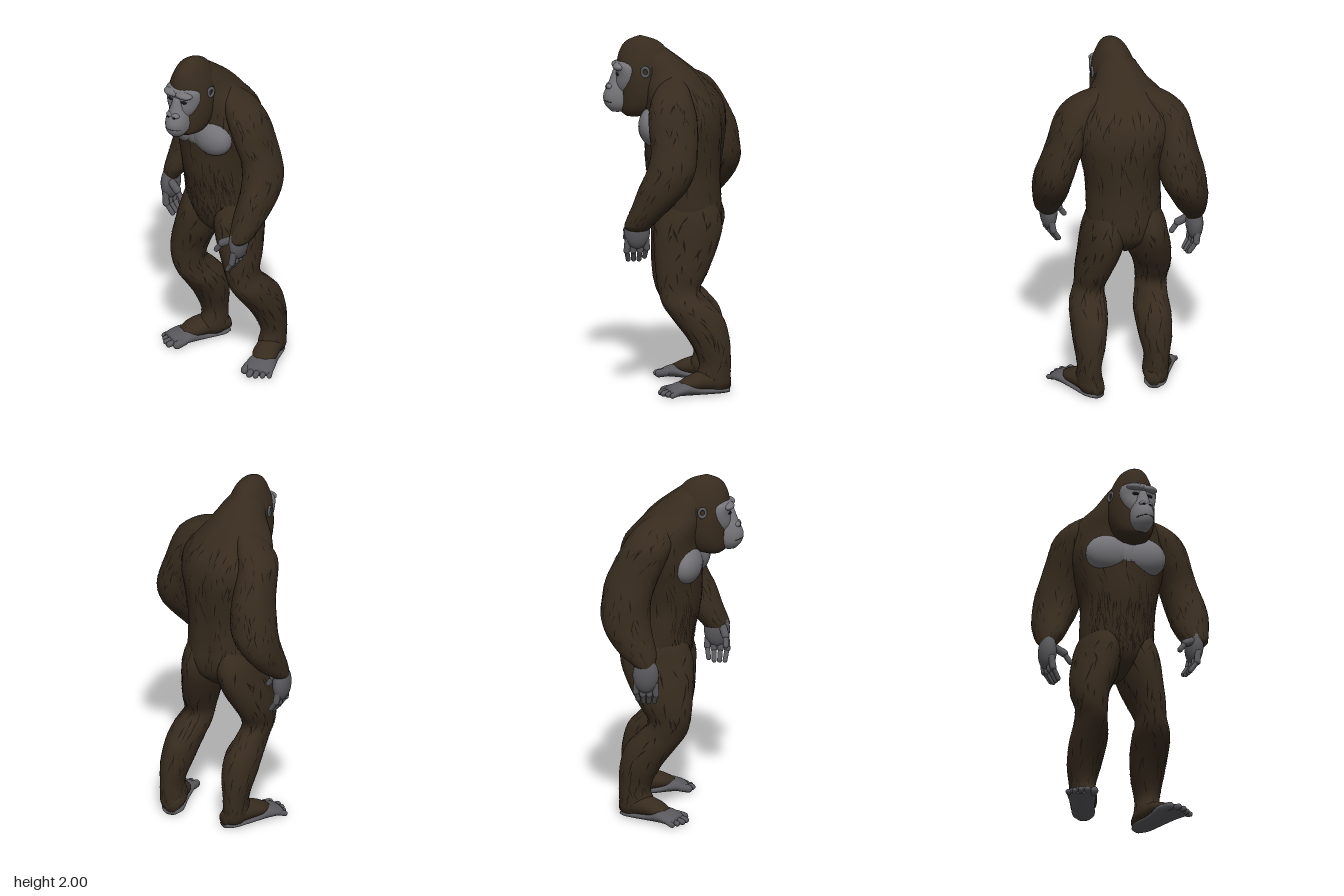
import * as THREE from 'three';

const mat = (name, color, side = THREE.FrontSide) => {
  const m = new THREE.MeshStandardMaterial({ color, side });
  m.name = name;
  return m;
};
const FUR = mat('brown fur', 0x372b1e);
const HAIR = mat('dark hair tufts', 0x1c150f, THREE.DoubleSide);
const FACE = mat('grey face skin', 0x757478);
const SKIN = mat('grey hand and foot skin', 0x59585c);
const DARK = mat('dark eyes and mouth', 0x171516);

let seed = 7;
const rnd = () => (seed = (seed * 16807) % 2147483647) / 2147483647;

// Smooth surface through elliptical rings [y, cx, cz, rx, rz, yaw], bottom to top
function ringSurface(rows, groove = 0) {
  const cen = new THREE.CatmullRomCurve3(rows.map(r => new THREE.Vector3(r[1], r[0], r[2])), false, 'catmullrom');
  const rad = new THREE.CatmullRomCurve3(rows.map(r => new THREE.Vector3(r[3], r[4], r[5] || 0)), false, 'catmullrom');
  return (v, t, lift = 0) => {
    const c = cen.getPoint(v), r = rad.getPoint(v);
    const back = Math.atan2(Math.cos(t), -Math.sin(t));
    const k = 1 - groove * Math.exp(-((back / 0.16) ** 2));
    const x = (r.x + lift) * Math.cos(t) * k, z = (r.y + lift) * Math.sin(t) * k;
    return new THREE.Vector3(c.x + x * Math.cos(r.z) + z * Math.sin(r.z), c.y, c.z - x * Math.sin(r.z) + z * Math.cos(r.z));
  };
}

function loftGeometry(rows, groove = 0, seg = 32) {
  const S = ringSurface(rows, groove), n = (rows.length - 1) * 4, pos = [], idx = [];
  for (let i = 0; i <= n; i++)
    for (let j = 0; j < seg; j++) pos.push(...S(i / n, (j / seg) * Math.PI * 2).toArray());
  for (let i = 0; i < n; i++)
    for (let j = 0; j < seg; j++) {
      const a = i * seg + j, b = i * seg + ((j + 1) % seg);
      idx.push(a, a + seg, b, b, a + seg, b + seg);
    }
  // end caps
  for (const [i, v] of [[0, 0], [n, 1]]) {
    const c = pos.length / 3;
    const mid = S(v, 0).add(S(v, Math.PI)).multiplyScalar(0.5);
    pos.push(...mid.toArray());
    for (let j = 0; j < seg; j++) {
      const a = i * seg + j, b = i * seg + ((j + 1) % seg);
      if (i) idx.push(c, b, a); else idx.push(c, a, b);
    }
  }
  const g = new THREE.BufferGeometry();
  g.setAttribute('position', new THREE.Float32BufferAttribute(pos, 3));
  g.setIndex(idx);
  g.computeVertexNormals();
  return g;
}

// Thin slivers of hair lying on a ring surface
function tufts(name, rows, count, groove = 0, v0 = 0.12, v1 = 0.85, t0 = 0, t1 = Math.PI * 2) {
  const S = ringSurface(rows, groove), pos = [], radius = rows[rows.length >> 1][3];
  for (let i = 0; i < count; i++) {
    const v = v0 + (v1 - v0) * rnd(), t = t0 + (t1 - t0) * rnd(), w = (0.0022 + 0.0015 * rnd()) / radius;
    const dv = 0.02 + 0.03 * rnd(), skew = (rnd() - 0.5) * 0.03 / radius;
    pos.push(...S(v, t - w, 0.002).toArray(), ...S(v + dv * 0.6, t - skew * 0.6, 0.002).toArray(), ...S(v, t + w, 0.002).toArray());
    pos.push(...S(v, t - w, 0.002).toArray(), ...S(v, t + w, 0.002).toArray(), ...S(v - dv, t + skew, 0.002).toArray());
  }
  const g = new THREE.BufferGeometry();
  g.setAttribute('position', new THREE.Float32BufferAttribute(pos, 3));
  g.computeVertexNormals();
  return named(name, new THREE.Mesh(g, HAIR));
}

const named = (name, o) => { o.name = name; return o; };
const loft = (name, rows, m, groove) => named(name, new THREE.Mesh(loftGeometry(rows, groove), m));

function ball(name, p, r, m) {
  const o = named(name, new THREE.Mesh(new THREE.SphereGeometry(1, 24, 16), m));
  o.position.set(...p);
  o.scale.set(...r);
  return o;
}

function capsule(name, a, b, r, m) {
  const A = new THREE.Vector3(...a), d = new THREE.Vector3(...b).sub(A);
  const o = named(name, new THREE.Mesh(new THREE.CapsuleGeometry(r, d.length(), 4, 10), m));
  o.position.copy(A).addScaledVector(d, 0.5);
  o.quaternion.setFromUnitVectors(new THREE.Vector3(0, 1, 0), d.normalize());
  return o;
}

// Hanging hand with curled fingers; s is +1 for left, -1 for right
function hand(name, s, pos) {
  const g = named(name, new THREE.Group());
  g.position.set(...pos);
  g.add(ball('palm', [0, -0.05, 0], [0.047, 0.105, 0.074], SKIN));
  for (let i = 0; i < 4; i++) {
    const z = -0.05 + 0.034 * i, l = i === 0 ? 0.015 : 0;
    g.add(capsule('fingerBase', [0, -0.1, z], [-0.008 * s, -0.165 + l, z * 1.1], 0.019, SKIN));
    g.add(capsule('fingerTip', [-0.008 * s, -0.165 + l, z * 1.1], [-0.045 * s, -0.222 + l, z * 0.9], 0.014, SKIN));
  }
  g.add(capsule('thumbBase', [-0.01 * s, -0.02, 0.03], [-0.08 * s, -0.06, 0.05], 0.023, SKIN));
  g.add(capsule('thumbTip', [-0.08 * s, -0.06, 0.05], [-0.115 * s, -0.11, 0.055], 0.016, SKIN));
  return g;
}

// Foot lofted along its length from the heel, with five toes
function foot(name, s, x, z, yaw) {
  const g = named(name, new THREE.Group());
  const sole = loft('sole', [[-0.09, 0, -0.016, 0.035, 0.014], [-0.04, 0, -0.02, 0.063, 0.02], [0.08, 0, -0.025, 0.067, 0.025],
    [0.17, 0, -0.041, 0.081, 0.04], [0.24, 0, -0.032, 0.085, 0.03], [0.275, 0, -0.026, 0.068, 0.02]], SKIN);
  const instep = loft('furryInstep', [[-0.095, 0, -0.055, 0.035, 0.035], [-0.03, 0, -0.072, 0.068, 0.058], [0.07, 0, -0.075, 0.069, 0.057],
    [0.14, 0, -0.068, 0.07, 0.042], [0.2, 0, -0.062, 0.04, 0.018]], FUR);
  for (const m of [sole, instep]) { m.rotation.x = Math.PI / 2; g.add(m); }
  for (let i = 0; i < 5; i++) {
    const tx = s * (-0.066 + 0.033 * i), r = i === 0 ? 0.023 : 0.019 - 0.001 * i;
    const len = 0.305 - 0.012 * Math.abs(i - 1.5) - (i === 0 ? 0.02 : 0);
    g.add(capsule('toe', [tx, 0.034, 0.22], [tx * 1.12, r + 0.002, len], r, SKIN));
  }
  g.position.set(x, 0, z);
  g.rotation.y = yaw;
  return g;
}

export function createModel() {
  const model = named('ape', new THREE.Group());

  // torso, turned slightly at the shoulders
  const torso = [[0.8, -0.012, -0.06, 0.01, 0.05], [0.86, -0.012, -0.07, 0.075, 0.13], [0.92, -0.012, -0.08, 0.165, 0.175],
    [1.0, -0.013, -0.08, 0.208, 0.195, -0.06], [1.1, -0.015, -0.07, 0.213, 0.2, -0.1], [1.25, -0.015, -0.055, 0.215, 0.215, -0.15],
    [1.4, -0.02, -0.06, 0.25, 0.225, -0.25], [1.52, -0.025, -0.062, 0.285, 0.23, -0.3], [1.63, -0.035, -0.055, 0.28, 0.215, -0.3],
    [1.72, -0.045, -0.012, 0.23, 0.185, -0.25], [1.8, -0.045, 0.035, 0.155, 0.16, -0.12], [1.88, -0.045, 0.1, 0.105, 0.125],
    [1.96, -0.045, 0.15, 0.035, 0.065]];
  model.add(loft('torso', torso, FUR, 0.07), tufts('torsoHair', torso, 230, 0.07, 0.2, 0.75));
  model.add(tufts('bellyHair', torso, 150, 0.07, 0.18, 0.42, 0.5, Math.PI - 0.5));

  // bare chest
  const chest = named('chest', new THREE.Group());
  chest.position.set(-0.008, 1.502, -0.065);
  chest.rotation.y = -0.2;
  for (const s of [1, -1]) chest.add(ball('pectoral', [s * 0.096, 0, 0.165], [0.136, 0.116, 0.091], FACE));
  chest.add(ball('breastbone', [0, 0, 0.185], [0.1, 0.1, 0.06], FACE));
  model.add(chest);

  // arms, left forward and right back
  const leftArm = [[0.95, 0.325, 0.235, 0.03, 0.05], [0.97, 0.33, 0.232, 0.053, 0.07], [1.0, 0.335, 0.22, 0.068, 0.085],
    [1.1, 0.346, 0.15, 0.093, 0.115], [1.2, 0.358, 0.09, 0.102, 0.14], [1.3, 0.352, 0.045, 0.108, 0.138], [1.4, 0.325, 0.025, 0.105, 0.132],
    [1.5, 0.285, 0.025, 0.108, 0.138], [1.6, 0.25, 0.03, 0.11, 0.135], [1.68, 0.21, 0.03, 0.105, 0.115], [1.74, 0.16, 0.02, 0.075, 0.085],
    [1.79, 0.095, 0.01, 0.025, 0.03]];
  const rightArm = [[0.96, -0.41, -0.14, 0.035, 0.04], [0.99, -0.405, -0.15, 0.053, 0.063], [1.05, -0.38, -0.185, 0.077, 0.105],
    [1.15, -0.345, -0.235, 0.105, 0.13], [1.25, -0.31, -0.258, 0.126, 0.14], [1.35, -0.292, -0.25, 0.13, 0.14], [1.45, -0.28, -0.225, 0.118, 0.147],
    [1.55, -0.272, -0.18, 0.11, 0.148], [1.65, -0.26, -0.135, 0.105, 0.138], [1.72, -0.22, -0.11, 0.09, 0.11], [1.77, -0.17, -0.08, 0.06, 0.07],
    [1.81, -0.11, -0.03, 0.02, 0.025]];
  model.add(loft('leftArm', leftArm, FUR), tufts('leftArmHair', leftArm, 150));
  model.add(loft('rightArm', rightArm, FUR), tufts('rightArmHair', rightArm, 150));
  model.add(hand('leftHand', 1, [0.32, 1.005, 0.235]), hand('rightHand', -1, [-0.415, 0.98, -0.14]));

  // legs share heights and depths: [y, cz, rz], then [cx, rx, depth change] per side
  const depth = [[0.03, -0.21, 0.075], [0.06, -0.205, 0.093], [0.1, -0.2, 0.098], [0.18, -0.21, 0.09], [0.3, -0.18, 0.115], [0.42, -0.12, 0.145],
    [0.5, -0.06, 0.14], [0.58, -0.015, 0.118], [0.68, -0.035, 0.15], [0.8, -0.065, 0.185], [0.92, -0.087, 0.205], [1.02, -0.095, 0.183],
    [1.14, -0.085, 0.12], [1.22, -0.075, 0.05]];
  const leftX = [[0.24, 0.055], [0.24, 0.07], [0.242, 0.071], [0.245, 0.066], [0.232, 0.088], [0.214, 0.1], [0.195, 0.1],
    [0.172, 0.082], [0.155, 0.095, 0.005], [0.128, 0.11, 0.013], [0.108, 0.117, 0.018], [0.095, 0.108, 0.018], [0.08, 0.07, 0.01], [0.07, 0.03]];
  const rightX = [[-0.155, 0.055], [-0.155, 0.068], [-0.158, 0.07], [-0.16, 0.07], [-0.163, 0.094], [-0.168, 0.1], [-0.185, 0.085],
    [-0.2, 0.085], [-0.197, 0.1], [-0.163, 0.122], [-0.135, 0.12], [-0.12, 0.11], [-0.1, 0.07], [-0.09, 0.03]];
  for (const [side, xs] of [['left', leftX], ['right', rightX]]) {
    const rows = depth.map(([y, z, rz], i) => {
      const [cx, rx, dz = 0] = xs[i];
      return [y, cx, z + dz, rx, rz - dz * 0.7];
    });
    model.add(loft(side + 'Leg', rows, FUR), tufts(side + 'LegHair', rows, 140));
  }
  model.add(foot('leftFoot', 1, 0.24, -0.2, 0.3), foot('rightFoot', -1, -0.16, -0.2, -0.5));

  // head with a tall crown
  const hx = -0.045;
  const head = named('head', new THREE.Group());
  head.position.x = hx;
  head.add(loft('skull', [[1.545, 0, 0.22, 0.04, 0.05], [1.58, 0, 0.2, 0.095, 0.105], [1.66, 0, 0.182, 0.125, 0.125], [1.76, 0, 0.175, 0.13, 0.135],
    [1.85, 0, 0.17, 0.117, 0.15], [1.92, 0, 0.172, 0.09, 0.133], [1.97, 0, 0.18, 0.06, 0.09], [2.0, 0, 0.19, 0.012, 0.015]], FUR));
  head.add(loft('muzzle', [[1.572, 0, 0.315, 0.035, 0.04], [1.61, 0, 0.308, 0.06, 0.08], [1.66, 0, 0.305, 0.066, 0.093],
    [1.71, 0, 0.302, 0.058, 0.078], [1.75, 0, 0.305, 0.042, 0.058], [1.81, 0, 0.3, 0.028, 0.042]], FACE));
  head.add(loft('faceMask', [[1.68, 0, 0.265, 0.06, 0.055], [1.73, 0, 0.26, 0.09, 0.072], [1.79, 0, 0.255, 0.108, 0.073],
    [1.84, 0, 0.26, 0.104, 0.075], [1.865, 0, 0.265, 0.075, 0.05]], FACE));
  for (const s of [1, -1]) {
    head.add(ball('brow', [s * 0.038, 1.832, 0.31], [0.055, 0.023, 0.038], FACE));
    head.add(ball('eye', [s * 0.04, 1.79, 0.318], [0.022, 0.01, 0.012], DARK));
    head.add(ball('noseWing', [s * 0.018, 1.715, 0.362], [0.024, 0.017, 0.02], FACE));
    head.add(ball('nostril', [s * 0.019, 1.708, 0.378], [0.009, 0.006, 0.007], DARK));
    const ear = named('ear', new THREE.Mesh(new THREE.TorusGeometry(0.02, 0.008, 8, 20), SKIN));
    ear.position.set(s * 0.126, 1.815, 0.17);
    ear.rotation.y = Math.PI / 2 - s * 0.25;
    ear.scale.y = 1.25;
    head.add(ear);
  }
  // mouth line wrapped around the muzzle
  const mouth = new THREE.CatmullRomCurve3([-1, -0.5, 0, 0.5, 1].map(a =>
    new THREE.Vector3(0.0645 * Math.sin(a), 1.636 - 0.008 * a * a, 0.306 + 0.0885 * Math.cos(a))));
  head.add(named('mouth', new THREE.Mesh(new THREE.TubeGeometry(mouth, 20, 0.003, 6), DARK)));
  model.add(head);

  return model;
}
